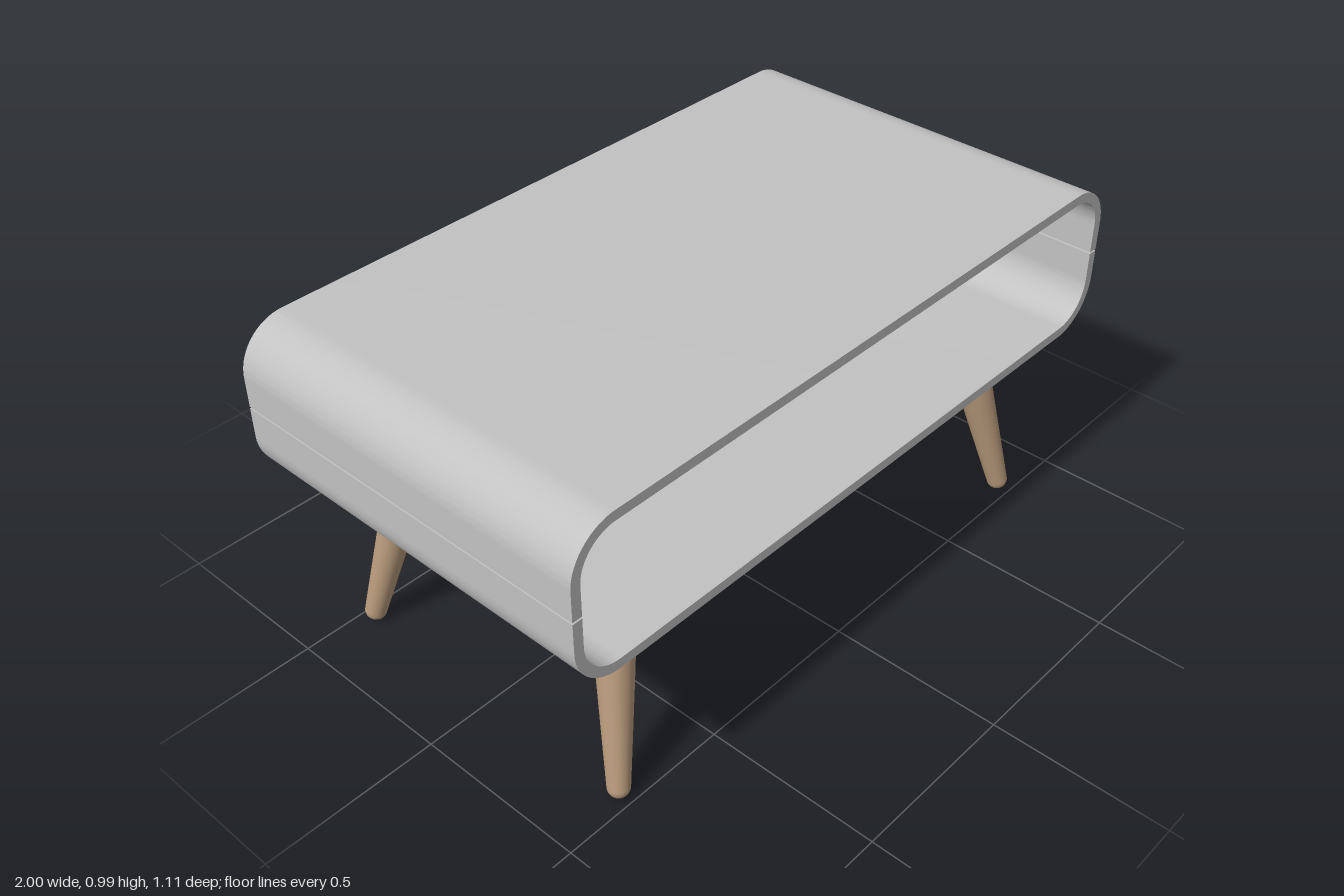
import * as THREE from 'three';
import { toCreasedNormals } from 'three/addons/utils/BufferGeometryUtils.js';

const greyPaint = new THREE.MeshStandardMaterial({ color: 0xc2c2c2 });
greyPaint.name = 'grey paint';
const wood = new THREE.MeshStandardMaterial({ color: 0xb89a7b });
wood.name = 'wood';

const DEPTH = 1.11, BOTTOM = 0.545, HALF_H = 0.2225, WALL = 0.028, RADIUS = 0.135, GAP = 0.0025;

// Upper half of the rounded tube, as a thick arch
function halfShellGeometry() {
  const s = new THREE.Shape();
  const inR = RADIUS - WALL, cx = 1 - RADIUS, cy = HALF_H - RADIUS, inX = 1 - WALL;
  s.moveTo(1, GAP);
  s.lineTo(1, cy);
  s.absarc(cx, cy, RADIUS, 0, Math.PI / 2, false);
  s.absarc(-cx, cy, RADIUS, Math.PI / 2, Math.PI, false);
  s.lineTo(-1, GAP);
  s.lineTo(-inX, GAP);
  s.lineTo(-inX, cy);
  s.absarc(-cx, cy, inR, Math.PI, Math.PI / 2, true);
  s.absarc(cx, cy, inR, Math.PI / 2, 0, true);
  s.lineTo(inX, GAP);
  const g = new THREE.ExtrudeGeometry(s, { depth: DEPTH, bevelEnabled: false, curveSegments: 16 });
  g.translate(0, 0, -DEPTH / 2);
  return toCreasedNormals(g, 0.6);
}

// Turned leg profile: rounded foot, taper, then a straight upper part
function legGeometry(length) {
  const r = 0.03, pts = [];
  for (let i = 0; i <= 8; i++) {
    const a = (i / 8) * Math.PI / 2;
    pts.push(new THREE.Vector2(r * Math.sin(a), r - r * Math.cos(a)));
  }
  pts.push(new THREE.Vector2(0.048, 0.355), new THREE.Vector2(0.05, 0.4), new THREE.Vector2(0.05, length));
  return new THREE.LatheGeometry(pts, 32);
}

export function createModel() {
  const model = new THREE.Group();
  model.name = 'coffeeTable';

  // Shell halves meet at a fine seam
  const shellGeo = halfShellGeometry();
  [['upperShell', 0], ['lowerShell', Math.PI]].forEach(([name, turn]) => {
    const half = new THREE.Mesh(shellGeo, greyPaint);
    half.name = name;
    half.position.y = BOTTOM + HALF_H;
    half.rotation.z = turn;
    model.add(half);
  });

  // Four splayed legs, their tops let slightly into the shell floor
  const top = new THREE.Vector3(0.688, 0.558, 0.352), foot = new THREE.Vector3(0.804, 0, 0.465);
  const legGeo = legGeometry(top.distanceTo(foot));
  for (const sx of [1, -1]) for (const sz of [1, -1]) {
    const mirror = new THREE.Vector3(sx, 1, sz);
    const start = foot.clone().multiply(mirror);
    const axis = top.clone().multiply(mirror).sub(start).normalize();
    const leg = new THREE.Mesh(legGeo, wood);
    leg.name = (sz > 0 ? 'front' : 'back') + (sx > 0 ? 'Left' : 'Right') + 'Leg';
    leg.position.copy(start);
    leg.quaternion.setFromUnitVectors(new THREE.Vector3(0, 1, 0), axis);
    model.add(leg);
  }

  // Rails joining the legs just under the shell
  const rail = (name, w, d, x, z) => {
    const m = new THREE.Mesh(new THREE.BoxGeometry(w, 0.127, d), wood);
    m.name = name;
    m.position.set(x, 0.4775, z);
    model.add(m);
  };
  for (const s of [1, -1]) {
    rail(s > 0 ? 'frontRail' : 'backRail', 1.35, 0.03, 0, s * 0.368);
    rail(s > 0 ? 'leftRail' : 'rightRail', 0.03, 0.68, s * 0.704, 0);
  }
  return model;
}
